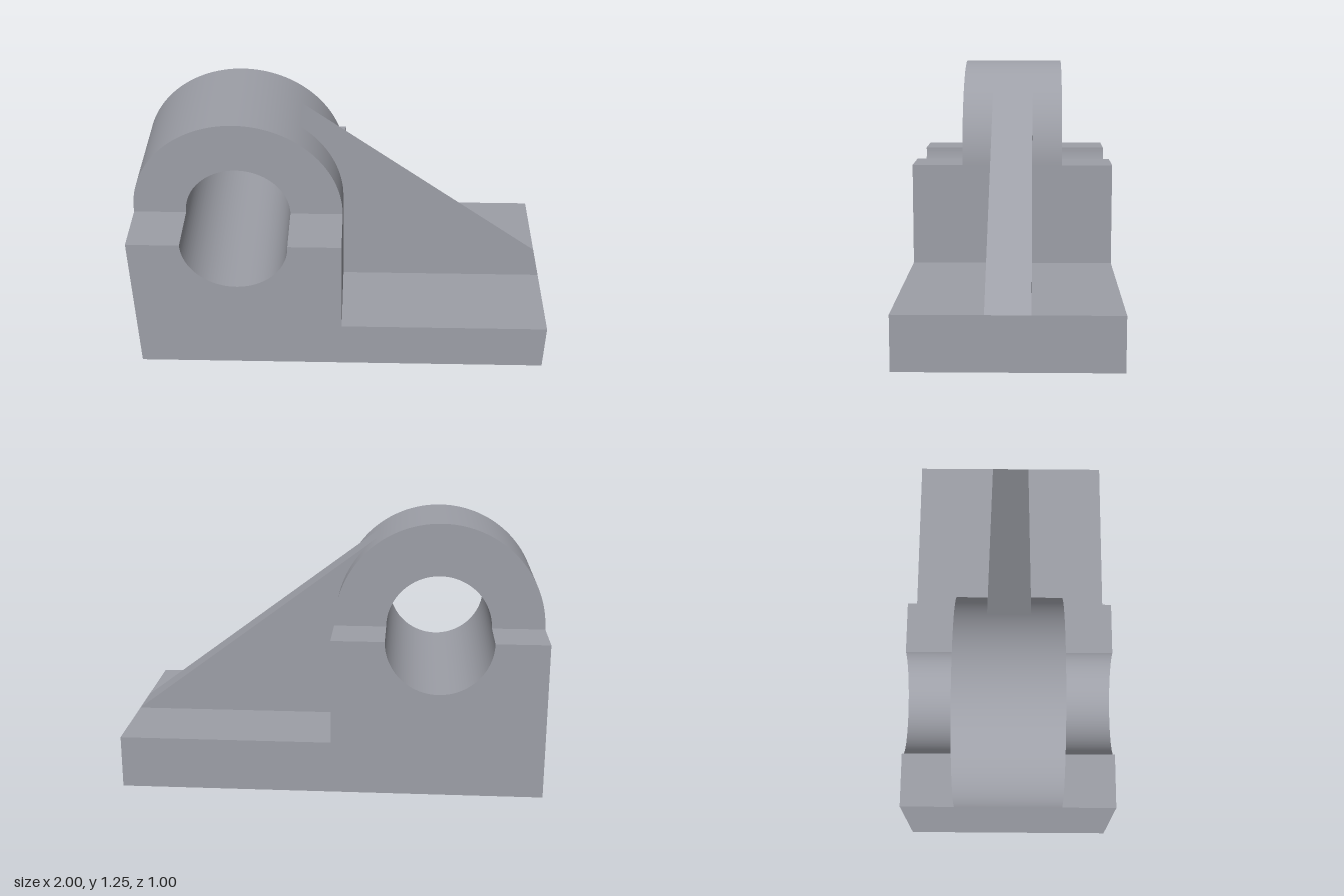
import * as THREE from 'three';
import { toCreasedNormals } from 'three/addons/utils/BufferGeometryUtils.js';

const BORE_X = -0.5, BORE_Y = 0.75, BORE_R = 0.25, CAP_R = 0.5;

export function createModel() {
  const group = new THREE.Group();
  const material = new THREE.MeshStandardMaterial({ color: 0x9d9fa7 });

  // Extrudes a front profile symmetrically about z = 0
  function addSlab(name, shape, width) {
    const geometry = new THREE.ExtrudeGeometry(shape, {
      depth: width, bevelEnabled: false, curveSegments: 64,
    });
    geometry.translate(0, 0, -width / 2);
    const mesh = new THREE.Mesh(toCreasedNormals(geometry, 0.5), material);
    mesh.name = name;
    group.add(mesh);
  }

  // Base plate and bearing block, with the lower half of the bore
  const base = new THREE.Shape();
  base.moveTo(-1, 0);
  base.lineTo(1, 0);
  base.lineTo(1, 0.25);
  base.lineTo(0, 0.25);
  base.lineTo(0, BORE_Y);
  base.lineTo(BORE_X + BORE_R, BORE_Y);
  base.absarc(BORE_X, BORE_Y, BORE_R, 0, -Math.PI, true);
  base.lineTo(-1, BORE_Y);
  base.closePath();
  addSlab('bearingBase', base, 1);

  // Narrower half-ring cap over the bore
  const cap = new THREE.Shape();
  cap.moveTo(BORE_X + CAP_R, BORE_Y);
  cap.absarc(BORE_X, BORE_Y, CAP_R, 0, Math.PI, false);
  cap.lineTo(BORE_X - BORE_R, BORE_Y);
  cap.absarc(BORE_X, BORE_Y, BORE_R, Math.PI, 0, true);
  cap.closePath();
  addSlab('bearingCap', cap, 0.5);

  // Gusset rib, its sloping edge tangent to the cap
  const rib = new THREE.Shape();
  rib.moveTo(0, 0.25);
  rib.lineTo(1, 0.25);
  rib.lineTo(-0.2, 1.15);
  rib.absarc(BORE_X, BORE_Y, CAP_R, Math.atan2(0.8, 0.6), 0, true);
  rib.closePath();
  addSlab('supportRib', rib, 0.2);

  return group;
}
